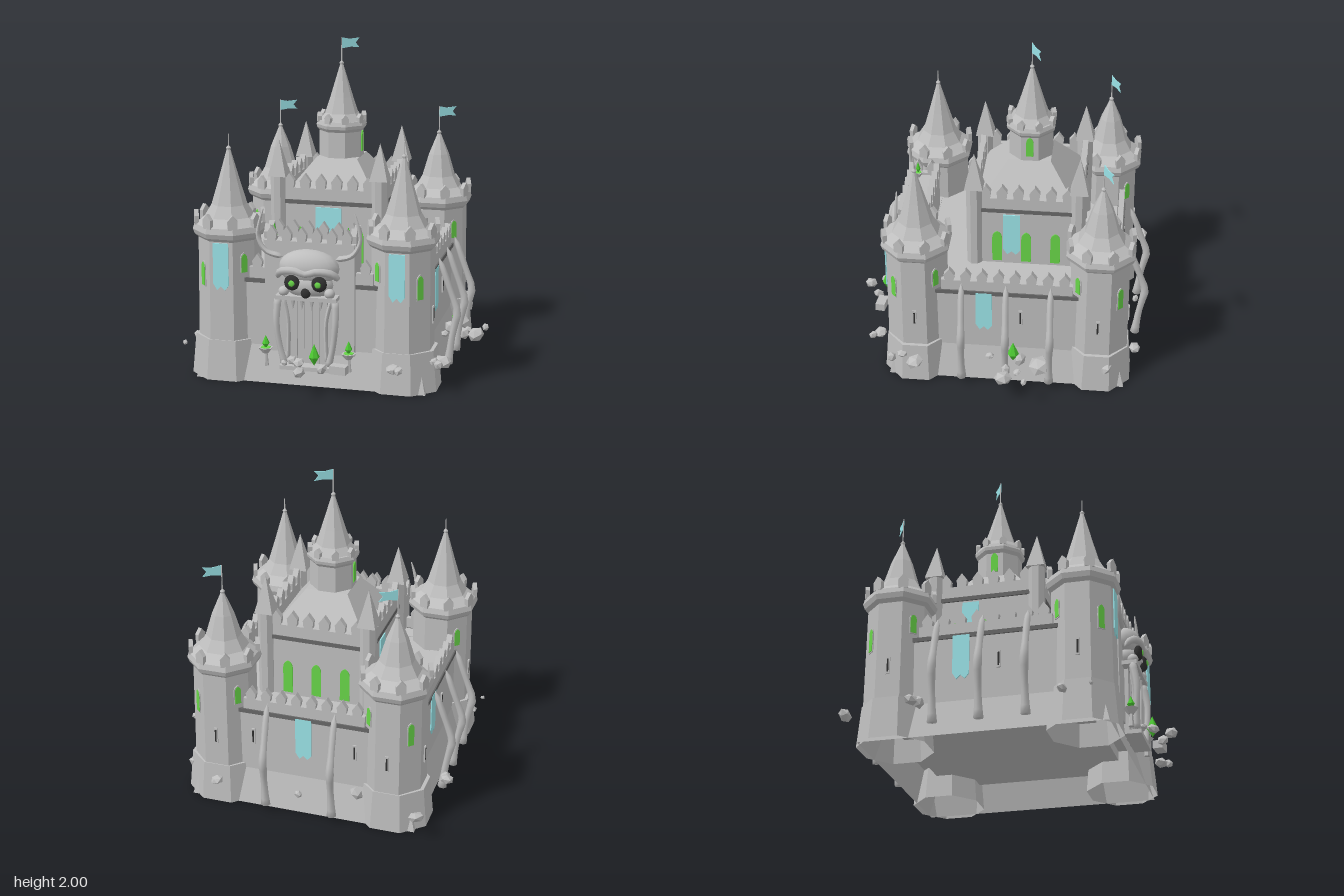
import * as THREE from 'three';

const mat = (name, color) => { const m = new THREE.MeshStandardMaterial({ color }); m.name = name; return m; };
const V = (x, y, z) => new THREE.Vector3(x, y, z);

export function createModel() {
  const root = new THREE.Group();
  root.name = 'castle';
  const stone = mat('stone', 0xbebebe), dark = mat('dark stone', 0x686868), black = mat('black', 0x303030);
  const cloth = mat('cloth', 0x9be4e8), glow = mat('green glass', 0x68d648), crystalMat = mat('crystal', 0x4cc832);
  stone.side = THREE.DoubleSide;

  const add = (name, geo, m, parent = root, x = 0, y = 0, z = 0, smooth = false) => {
    if (!smooth) { if (geo.index) geo = geo.toNonIndexed(); geo.computeVertexNormals(); }
    const mesh = new THREE.Mesh(geo, m);
    mesh.name = name;
    mesh.position.set(x, y, z);
    parent.add(mesh);
    return mesh;
  };
  // Box given by its centre in plan and its bottom and top heights
  const block = (name, m, cx, cz, w, d, y0, y1, parent = root) =>
    add(name, new THREE.BoxGeometry(w, y1 - y0, d), m, parent, cx, (y0 + y1) / 2, cz);
  // Rectangular ring of four blocks
  const ring = (name, m, cx, cz, hx, hz, t, y0, y1) => {
    for (const s of [-1, 1]) {
      block(name, m, cx + s * (hx - t / 2), cz, t, hz * 2, y0, y1);
      block(name, m, cx, cz + s * (hz - t / 2), hx * 2 - 2 * t, t, y0, y1);
    }
  };
  // Group whose +z looks out of a wall facing the given angle
  const face = (cx, cz, angle, dist) => {
    const g = new THREE.Group();
    g.name = 'wallFace';
    g.position.set(cx + Math.sin(angle) * dist, 0, cz + Math.cos(angle) * dist);
    g.rotation.y = angle;
    root.add(g);
    return g;
  };
  const shapeOf = pts => new THREE.Shape(pts.map(p => new THREE.Vector2(p[0], p[1])));
  const plate = (name, shape, m, parent, x, y, z, depth = 0.007) =>
    add(name, new THREE.ExtrudeGeometry(shape, { depth, bevelEnabled: false, curveSegments: 4 }), m, parent, x, y, z);
  const archShape = (w, h) => {
    const s = new THREE.Shape();
    s.moveTo(-w, 0); s.lineTo(w, 0); s.lineTo(w, h - 1.6 * w);
    s.quadraticCurveTo(w, h - 0.5 * w, 0, h); s.quadraticCurveTo(-w, h - 0.5 * w, -w, h - 1.6 * w);
    return s;
  };
  const windowAt = (g, x, y, w, h) => plate('window', archShape(w, h), glow, g, x, y, 0);
  const banner = (g, x, top, w, h) => plate('banner', shapeOf(
    [[-w, 0], [-w, 0.04 - h], [-w * 0.5, -h], [0, 0.025 - h], [w * 0.5, -h], [w, 0.03 - h], [w, 0]]), cloth, g, x, top, 0.003);
  const slit = (g, x, y) => {
    block('slitFrame', stone, x, 0.003, 0.024, 0.012, y, y + 0.105, g);
    block('arrowSlit', black, x, 0.007, 0.01, 0.008, y + 0.012, y + 0.093, g);
  };
  // Parapet with pointed merlons
  const parapet = (g, len, n, y, low, high, z = -0.035) => {
    const pts = [[-len / 2, 0]], p = len / n;
    for (let i = 0; i < n; i++) {
      const c = -len / 2 + (i + 0.5) * p;
      pts.push([c - p * 0.5, low], [c - p * 0.28, low], [c - p * 0.33, high - 0.045], [c, high],
        [c + p * 0.33, high - 0.045], [c + p * 0.28, low], [c + p * 0.5, low]);
    }
    pts.push([len / 2, 0]);
    plate('parapet', shapeOf(pts.reverse()), stone, g, 0, y, z, 0.035);
  };
  // Tapered tube along a path; tension 0 makes it angular
  const limb = (name, pts, radii, parent, tension = 0.5) => {
    const curve = new THREE.CatmullRomCurve3(pts, false, 'catmullrom', tension), n = 16, k = 7;
    const geo = new THREE.TubeGeometry(curve, n, 1, k), pos = geo.attributes.position;
    for (let i = 0; i < pos.count; i++) {
      const row = Math.floor(i / (k + 1)), t = Math.min(row, n - 1) / n;
      const axis = curve.getPointAt(row / n), c = curve.getPointAt(t);
      const f = t * (radii.length - 1), a = Math.floor(f);
      const r = row === 0 || row === n ? 0.001 : THREE.MathUtils.lerp(radii[a], radii[a + 1], f - a);
      const v = V().fromBufferAttribute(pos, i).sub(axis).multiplyScalar(r).add(c);
      pos.setXYZ(i, v.x, v.y, v.z);
    }
    geo.computeVertexNormals();
    add(name, geo, stone, parent, 0, 0, 0, true);
  };
  const lathe = (name, pts, x, z) => add(name, new THREE.LatheGeometry(
    pts.map(p => new THREE.Vector2(p[0], p[1])), 8, Math.PI / 8), stone, root, x, 0, z);
  const merlonRing = (x, z, r, y, w, h) => {
    for (let i = 0; i < 8; i++) plate('towerMerlon', shapeOf(
      [[-w, 0], [w, 0], [w * 1.1, h * 0.6], [0, h], [-w * 1.1, h * 0.6]]), stone, face(x, z, (i + 0.5) * Math.PI / 4, r), 0, y, -0.02, 0.026);
  };
  const flag = (x, z, y0, y1, withCloth) => {
    add('flagPole', new THREE.CylinderGeometry(0.003, 0.004, y1 - y0, 6), stone, root, x, (y0 + y1) / 2, z);
    if (!withCloth) return;
    const f = plate('flag', shapeOf([[0, -0.068], [0.06, -0.06], [0.115, -0.066], [0.09, -0.035], [0.115, -0.005], [0.05, -0.01], [0, 0]]),
      cloth, root, x, y1, z, 0.004);
    f.rotation.y = 0.54;
  };

  const CX = -0.0625, CZ = -0.08, H = Math.PI / 2;

  // Hollow sloping plinth, curtain walls and floors
  add('plinth', new THREE.CylinderGeometry(Math.SQRT2, Math.SQRT2 * 1.083, 0.22, 4, 1, true).rotateY(Math.PI / 4).scale(0.655, 1, 0.675),
    stone, root, CX, 0.11, CZ);
  block('undercroft', stone, CX, CZ, 1.12, 1.16, 0.14, 0.21);
  ring('curtainWall', stone, CX, CZ, 0.655, 0.675, 0.15, 0.2, 0.635);
  ring('wallLedge', dark, CX, CZ, 0.664, 0.684, 0.05, 0.61, 0.636);
  block('courtyard', stone, CX, CZ, 1.2, 1.24, 0.585, 0.63);
  const walls = [0, 1, 2, 3].map(i => face(CX, CZ, i * H, i % 2 ? 0.655 : 0.675));
  walls.forEach((g, i) => {
    parapet(g, i % 2 ? 0.8 : 0.76, 8, 0.635, 0.07, 0.15);
    if (i === 0) return;
    const ribs = i === 2 ? [-0.21, 0.21] : [-0.27, 0, 0.27];
    banner(g, i === 2 ? 0 : -0.14, 0.625, 0.05, 0.275);
    for (const u of i === 2 ? [-0.32, 0.32] : [0.085]) slit(g, u, 0.4);
    // Crooked bone buttresses
    for (const u of ribs) limb('boneButtress', [V(u, 0.72, 0.045), V(u, 0.64, 0.075), V(u + 0.005, 0.39, 0.165), V(u, 0.22, 0.13), V(u, 0.01, 0.105)],
      [0.014, 0.021, 0.02, 0.026, 0.02, 0.023, 0.034], g, 0);
  });

  // Corner towers
  for (const sx of [-1, 1]) for (const sz of [-1, 1]) {
    const x = CX + sx * 0.5375, z = CZ + sz * 0.56, top = sz > 0 ? 1.42 : 1.36;
    lathe('towerFoot', [[0.242, 0], [0.218, 0.25], [0.18, 0.252]], x, z).scale.z = 0.92;
    lathe('tower', [[0.196, 0.2], [0.19, 0.86], [0.212, 0.88], [0.224, 0.91], [0.214, 0.945], [0.2, 0.955]], x, z);
    lathe('towerRoof', [[0.204, 0.95], [0.15, 0.99], [0.108, 1.06], [0.066, 1.2], [0.012, top - 0.03], [0.015, top - 0.018], [0, top]], x, z);
    merlonRing(x, z, 0.207, 0.94, 0.028, 0.09);
    flag(x, z, top - 0.02, sz > 0 ? 1.485 : 1.51, sz < 0);
    for (const turn of [-1, 0, 1]) {
      const g = face(x, z, Math.atan2(sx, sz) + turn * H, 0.179), y = turn ? 0.67 : 0.575, h = turn ? 0.115 : 0.145;
      plate('windowFrame', archShape(0.025, h + 0.014), stone, g, 0, y - 0.006, -0.003);
      windowAt(g, 0, y, 0.019, h);
    }
    slit(face(x, z, sx * H, 0.178), 0, 0.4);
    if (sz > 0) banner(face(x, z, 0, 0.18), 0, 0.855, 0.048, 0.29);
    else slit(face(x, z, Math.PI, 0.178), 0, 0.4);
  }

  // Keep with hipped roof and corner turrets
  const KZ = -0.17;
  block('keep', stone, CX, KZ, 0.67, 0.67, 0.6, 1.03);
  block('keepLedge', dark, CX, KZ, 0.69, 0.69, 1.005, 1.031);
  add('keepRoof', new THREE.CylinderGeometry(0.13 * Math.SQRT2, 0.31 * Math.SQRT2, 0.23, 4), stone, root, CX, 1.145, KZ).rotation.y = Math.PI / 4;
  for (let i = 0; i < 4; i++) {
    const g = face(CX, KZ, i * H, 0.336);
    parapet(g, 0.6, 6, 1.03, 0.075, 0.165, -0.03);
    for (const u of i === 0 ? [-0.19, 0.19] : [-0.18, 0, 0.18]) windowAt(g, u, 0.65, 0.03, 0.215);
    if (i !== 2) banner(g, i ? -0.09 : 0, 0.99, i ? 0.052 : 0.082, 0.29);
    const x = CX + (i % 2 ? 0.32 : -0.32), z = KZ + (i < 2 ? 0.32 : -0.32);
    add('turret', new THREE.CylinderGeometry(0.053, 0.05, 0.55, 8), stone, root, x, 0.905, z).rotation.y = Math.PI / 8;
    add('turretRoof', new THREE.ConeGeometry(0.08, 0.23, 4), stone, root, x, 1.29, z).rotation.y = Math.PI / 4;
  }

  // Central spire
  lathe('spire', [[0.143, 1.2], [0.14, 1.42], [0.156, 1.44], [0.16, 1.46], [0.15, 1.485], [0, 1.49]], CX, KZ);
  lathe('spireRoof', [[0.14, 1.485], [0.105, 1.53], [0.072, 1.63], [0.011, 1.83], [0.014, 1.843], [0, 1.86]], CX, KZ);
  merlonRing(CX, KZ, 0.148, 1.475, 0.02, 0.06);
  flag(CX, KZ, 1.84, 2, true);
  for (const s of [-1, 1]) windowAt(face(CX, KZ, s * H, 0.13), 0, 1.29, 0.022, 0.13);

  // Gatehouse
  block('gatehouse', stone, CX, 0.54, 0.55, 0.18, 0.2, 0.87);
  for (let i = 0; i < 4; i++) parapet(face(CX, 0.54, i * H, i % 2 ? 0.277 : 0.092), i % 2 ? 0.17 : 0.55, i % 2 ? 2 : 6, 0.865, 0.022, 0.11, -0.03);
  block('doorstep', stone, CX, 0.68, 0.32, 0.1, 0.12, 0.145);
  for (let i = -2; i <= 2; i++) block('doorPlank', stone, CX + i * 0.046, 0.635, 0.043, i % 2 ? 0.03 : 0.036, 0.14, 0.56);

  // Skull over the gate
  const skull = new THREE.Group();
  skull.name = 'skull';
  skull.position.set(CX, 0, 0);
  root.add(skull);
  const ball = (name, m, x, y, z, rx, ry, rz) =>
    add(name, new THREE.SphereGeometry(1, 18, 12), m, skull, x, y, z, true).scale.set(rx, ry, rz);
  ball('cranium', stone, 0, 0.735, 0.63, 0.185, 0.11, 0.1);
  ball('skullFace', stone, 0, 0.635, 0.64, 0.15, 0.085, 0.085);
  ball('noseHole', black, 0, 0.6, 0.712, 0.03, 0.035, 0.022);
  block('upperJaw', stone, 0, 0.675, 0.37, 0.09, 0.55, 0.575, skull);
  limb('browRidge', [V(-0.19, 0.66, 0.65), V(-0.16, 0.715, 0.69), V(-0.07, 0.733, 0.72), V(0, 0.715, 0.725), V(0.07, 0.733, 0.72), V(0.16, 0.715, 0.69), V(0.19, 0.66, 0.65)], [0.015, 0.024, 0.024, 0.02, 0.024, 0.024, 0.015], skull);
  for (const s of [-1, 1]) {
    ball('eyeSocket', black, s * 0.083, 0.658, 0.715, 0.047, 0.047, 0.026);
    ball('pupil', glow, s * 0.08, 0.658, 0.738, 0.019, 0.019, 0.008);
    ball('cheek', stone, s * 0.14, 0.597, 0.69, 0.032, 0.03, 0.033);
    limb('tusk', [V(s * 0.175, 0.57, 0.69), V(s * 0.18, 0.42, 0.715), V(s * 0.165, 0.28, 0.71), V(s * 0.13, 0.13, 0.7)], [0.024, 0.021, 0.018, 0.018, 0.024], skull);
    limb('jawRib', [V(s * 0.15, 0.57, 0.68), V(s * 0.115, 0.4, 0.685), V(s * 0.12, 0.15, 0.68)], [0.014, 0.012, 0.014], skull);
    limb('horn', [V(s * 0.16, 0.79, 0.63), V(s * 0.26, 0.82, 0.64), V(s * 0.31, 0.9, 0.64), V(s * 0.305, 0.98, 0.64), V(s * 0.272, 1.1, 0.635)], [0.02, 0.016, 0.013, 0.01, 0.002], skull);
    for (const u of [0.03, 0.085]) add('tooth', new THREE.ConeGeometry(0.018, 0.07, 5), stone, skull, s * u, 0.52, 0.69).rotation.x = Math.PI;
  }

  // Crystals and the bowls that hold some of them
  const crystal = (x, y, z, r, h) => add('crystal', new THREE.LatheGeometry(
    [[0, 0], [r, h * 0.4], [0, h]].map(p => new THREE.Vector2(...p)), 6), crystalMat, root, x, y, z);
  const bowl = (x, y, z, r) => {
    add('bowl', new THREE.CylinderGeometry(r, r * 0.4, 0.035, 6), stone, root, x, y, z);
    add('bowlGlow', new THREE.CylinderGeometry(r * 0.7, r * 0.7, 0.004, 6), glow, root, x, y + 0.018, z);
    crystal(x, y + 0.01, z, r * 0.5, 0.085);
  };
  for (const s of [-1, 1]) {
    const x = CX + s * 0.255;
    add('bowlStem', new THREE.CylinderGeometry(0.01, 0.018, 0.08, 6), stone, root, x, 0.165, 0.69);
    bowl(x, 0.22, 0.69, 0.046);
    bowl(CX + s * 0.227, 0.885, 0.58, 0.03);
  }
  crystal(0, 0.17, 0.76, 0.033, 0.135);
  crystal(0.7, 0.2, -0.13, 0.036, 0.14);
  crystal(-0.55, 0.63, -0.38, 0.034, 0.11);

  // Scattered rocks: x, z, size
  let seed = 7;
  const rnd = () => (seed = (seed * 16807) % 2147483647) / 2147483647;
  const rocks = [[-0.8, -0.88, 0.045], [-0.88, -0.46, 0.04], [-0.86, -0.42, 0.035], [-0.84, 0.4, 0.03], [-0.87, 0.57, 0.015],
    [0.46, -0.87, 0.035], [-0.06, -0.86, 0.025], [0.67, -0.7, 0.04], [0.7, -0.29, 0.065], [0.77, -0.16, 0.022], [0.87, -0.21, 0.022],
    [0.65, -0.17, 0.04], [0.75, -0.09, 0.04], [0.83, -0.08, 0.055], [0.65, 0.02, 0.025], [0.72, 0.48, 0.05], [0.68, 0.56, 0.03],
    [0.72, 0.62, 0.03], [0.47, 0.73, 0.042], [0.51, 0.77, 0.028], [-0.06, 0.88, 0.038], [-0.09, 0.78, 0.035],
    [-0.19, 0.74, 0.02], [0.06, 0.81, 0.035], [-0.4, -0.77, 0.04], [-0.15, 0.71, 0.03]];
  for (const [x, z, r] of rocks) {
    const rock = add('rock', new THREE.IcosahedronGeometry(r * 1.08, 0), stone, root, x, 0.16 + rnd() * 0.03, z);
    rock.scale.set(0.9 + rnd() * 0.2, 0.6 + rnd() * 0.25, 0.9 + rnd() * 0.2);
    rock.rotation.set(rnd(), rnd() * 6, rnd());
  }
  block('fallenBlock', stone, -0.48, -0.36, 0.09, 0.07, 0.62, 0.69).rotation.y = 0.4;
  block('fallenBlock', stone, 0.155, 0.775, 0.1, 0.06, 0.14, 0.19).rotation.y = -0.12;
  return root;
}
